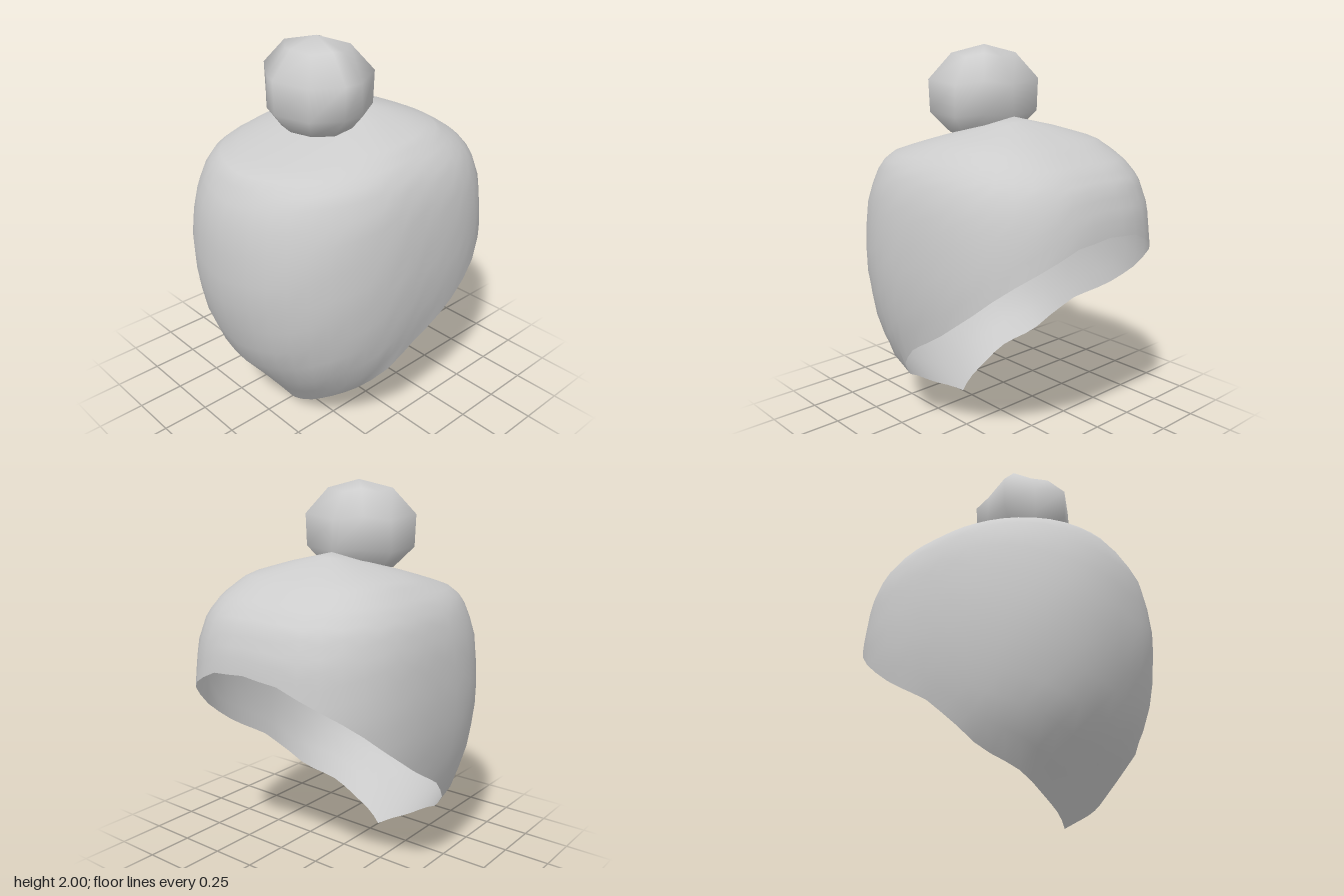
import * as THREE from 'three';

// Skin a surface over closed rings (top to bottom), with a pole on top and optionally below
function skin(top, rings, bottom) {
  const n = rings[0].length, pts = [top, ...rings.flat()], idx = [];
  const id = (j, i) => 1 + j * n + (i % n);
  for (let i = 0; i < n; i++) {
    idx.push(0, id(0, i), id(0, i + 1));
    for (let j = 0; j < rings.length - 1; j++) {
      const a = id(j, i), b = id(j, i + 1), c = id(j + 1, i), d = id(j + 1, i + 1);
      idx.push(a, c, b, b, c, d);
    }
    if (bottom) idx.push(id(rings.length - 1, i), pts.length, id(rings.length - 1, i + 1));
  }
  if (bottom) pts.push(bottom);
  const g = new THREE.BufferGeometry();
  g.setAttribute('position', new THREE.Float32BufferAttribute(pts.flat(), 3));
  g.setIndex(idx);
  g.computeVertexNormals();
  return g;
}

// Linear lookup in rows sorted by their first column
function lookup(rows, v) {
  let k = 0;
  while (k < rows.length - 2 && v > rows[k + 1][0]) k++;
  const a = rows[k], b = rows[k + 1], t = (v - a[0]) / (b[0] - a[0]);
  return a.map((p, i) => p + (b[i] - p) * t);
}

// Shell sections: row, height, half width, front z, back z, centre z
const SECTIONS = [
  [1.65, 0, -0.1, -0.1, -0.1],
  [1.6, 0.21, 0.06, -0.3, -0.1],
  [1.54, 0.41, 0.27, -0.46, -0.08],
  [1.49, 0.475, 0.45, -0.545, -0.04],
  [1.44, 0.53, 0.61, -0.62, 0],
  [1.36, 0.58, 0.665, -0.69, 0],
  [1.22, 0.62, 0.73, -0.74, 0],
  [1.0, 0.64, 0.757, -0.765, 0],
  [0.8, 0.637, 0.75, -0.765, 0],
  [0.6, 0.61, 0.71, -0.755, 0],
  [0.4, 0.555, 0.635, -0.74, 0],
  [0.2, 0.43, 0.475, -0.7, 0],
  [0, 0.28, 0.33, -0.6, 0],
].map((r, i) => [i, ...r]);

// Height of the open rim by angle from the front, in degrees
const RIM = [[0, 0], [27, 0.1], [45, 0.2], [65, 0.29], [76, 0.4], [90, 0.53], [110, 0.66],
  [125, 0.8], [133, 0.89], [141, 0.97], [153, 1.06], [165, 1.13], [180, 1.15]];

// Section rows indexed by falling height, to find where each strand meets the rim
const ROW_AT = SECTIONS.map((r) => [-r[1], r[0]]);

function shellGeometry() {
  const SEGS = 48, ROWS = 18, rings = [];
  for (let j = 1; j <= ROWS; j++) {
    const ring = [];
    for (let i = 0; i < SEGS; i++) {
      const deg = (i / SEGS) * 360, th = THREE.MathUtils.degToRad(deg);
      const rimY = lookup(RIM, Math.min(deg, 360 - deg))[1];
      const end = lookup(ROW_AT, -rimY)[1];
      const [, y, w, f, b, c] = lookup(SECTIONS, (end * j) / ROWS);
      const s = Math.sin(th), k = Math.cos(th);
      const e = k > 0 ? 2.3 : 2.7, depth = k > 0 ? f - c : c - b;
      const r = (Math.abs(s / w) ** e + Math.abs(k / depth) ** e) ** (-1 / e);
      ring.push([r * s, y, c + r * k]);
    }
    rings.push(ring);
  }
  return skin([0, 1.65, -0.1], rings);
}

// Bun: a ball with five lobes that twist from ring to ring
function bunGeometry() {
  const SEGS = 10, levels = [[1.95, 0.17], [1.82, 0.285], [1.66, 0.285], [1.56, 0.19]];
  const rings = levels.map(([y, r], j) => Array.from({ length: SEGS }, (_, i) => {
    const th = (i / SEGS) * Math.PI * 2;
    const lobe = Math.cos(5 * th + (j - 1) * 0.7);
    const q = r * (1 + 0.09 * lobe);
    return [q * Math.sin(th), y + 0.012 * lobe, 0.13 + q * 0.85 * Math.cos(th)];
  }));
  return skin([0, 2, 0.125], rings, [0, 1.53, 0.13]);
}

export function createModel() {
  const grey = new THREE.MeshStandardMaterial({ color: 0xcccccc, side: THREE.DoubleSide });
  grey.name = 'light grey';
  const model = new THREE.Group();
  model.name = 'hairWithBun';
  for (const [name, geometry] of [['hairShell', shellGeometry()], ['bun', bunGeometry()]]) {
    const mesh = new THREE.Mesh(geometry, grey);
    mesh.name = name;
    model.add(mesh);
  }
  return model;
}
